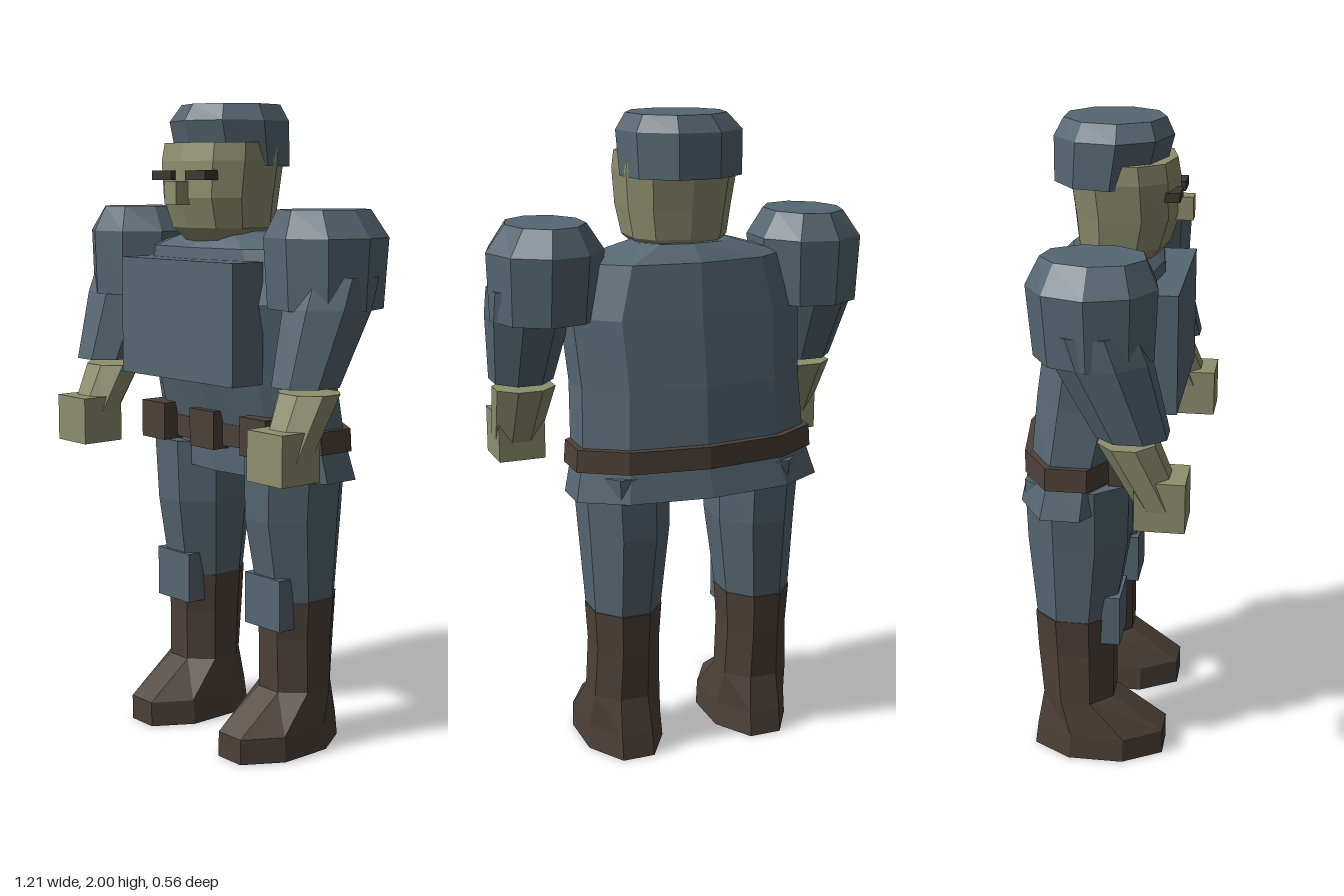
import * as THREE from 'three';

const mat = (name, color) => {
  const m = new THREE.MeshStandardMaterial({ color });
  m.name = name;
  m.flatShading = true;
  return m;
};

// Closed loft through horizontal rings [y, xMin, xMax, zMin, zMax]; p < 1 makes the rings boxier
function loft(rings, sides, phase = 0, p = 1) {
  const pow = (v) => Math.sign(v) * Math.abs(v) ** p;
  const unit = [];
  for (let j = 0; j < sides; j++) {
    const a = phase + (j / sides) * Math.PI * 2;
    unit.push([pow(Math.cos(a)), pow(Math.sin(a))]);
  }
  const fit = (k) => {
    const v = unit.map((u) => u[k]);
    const lo = Math.min(...v), hi = Math.max(...v);
    return v.map((t) => (t - lo) / (hi - lo));
  };
  const us = fit(0), ws = fit(1);
  const pos = [], idx = [];
  for (const [y, x0, x1, z0, z1] of rings)
    for (let j = 0; j < sides; j++) pos.push(x0 + (x1 - x0) * us[j], y, z0 + (z1 - z0) * ws[j]);
  const n = rings.length;
  for (let i = 0; i < n - 1; i++)
    for (let j = 0; j < sides; j++) {
      const k = (j + 1) % sides, a = i * sides, b = a + sides;
      idx.push(a + j, b + j, b + k, a + j, b + k, a + k);
    }
  const top = (n - 1) * sides;
  for (let j = 1; j < sides - 1; j++) {
    idx.push(0, j, j + 1);
    idx.push(top, top + j + 1, top + j);
  }
  const g = new THREE.BufferGeometry();
  g.setAttribute('position', new THREE.Float32BufferAttribute(pos, 3));
  g.setIndex(idx);
  const flat = g.toNonIndexed();
  flat.computeVertexNormals();
  return flat;
}

// Box given by its bounds
function box(x0, x1, y0, y1, z0, z1) {
  return new THREE.BoxGeometry(x1 - x0, y1 - y0, z1 - z0)
    .translate((x0 + x1) / 2, (y0 + y1) / 2, (z0 + z1) / 2);
}

export function createModel() {
  const group = new THREE.Group();
  const cloth = mat('slate blue cloth', 0x566772);
  const skin = mat('olive skin', 0x8e8f6e);
  const leather = mat('brown leather', 0x4d4139);
  const dark = mat('dark eye', 0x3e3731);
  const add = (name, geo, material) => {
    const m = new THREE.Mesh(geo, material);
    m.name = name;
    group.add(m);
  };

  // Torso, skirt and chest plate
  add('torso', loft([
    [0.95, -0.37, 0.37, -0.255, 0.06],
    [1.2, -0.36, 0.355, -0.235, 0.13],
    [1.41, -0.37, 0.37, -0.205, 0.165],
    [1.57, -0.32, 0.31, -0.18, 0.15],
    [1.62, -0.15, 0.15, -0.13, 0.09],
  ], 10, Math.PI / 10, 0.85), cloth);
  add('skirt', loft([
    [0.865, -0.405, 0.395, -0.285, 0.06],
    [0.98, -0.37, 0.37, -0.255, 0.06],
  ], 10, Math.PI / 10, 0.9), cloth);
  add('chestPlate', box(-0.265, 0.27, 1.17, 1.535, 0.1, 0.22), cloth);

  // Belt and pouches
  add('belt', loft([
    [0.955, -0.39, 0.39, -0.275, 0.085],
    [1.025, -0.385, 0.385, -0.275, 0.085],
  ], 10, Math.PI / 10, 0.9), leather);
  for (const x of [-0.245, 0, 0.24]) add('pouch', box(x - 0.058, x + 0.058, 0.945, 1.065, 0.02, 0.115), leather);

  // Head, face and cap
  add('head', loft([
    [1.58, -0.1, 0.1, -0.1, 0.12],
    [1.63, -0.15, 0.155, -0.115, 0.165],
    [1.72, -0.165, 0.17, -0.125, 0.195],
    [1.83, -0.18, 0.18, -0.14, 0.195],
    [1.885, -0.175, 0.175, -0.14, 0.185],
  ], 10, Math.PI / 10, 0.8), skin);
  add('nose', box(-0.027, 0.03, 1.7, 1.77, 0.15, 0.235), skin);
  for (const x of [-0.078, 0.083]) add('eye', box(x - 0.047, x + 0.047, 1.774, 1.802, 0.13, 0.205), dark);
  add('cap', loft([
    [1.815, -0.19, 0.185, -0.175, 0.14],
    [1.95, -0.195, 0.19, -0.175, 0.175],
    [2.0, -0.145, 0.16, -0.15, 0.15],
  ], 9, Math.PI / 2), cloth);

  // Limbs, described on the +x side and mirrored
  for (const s of [1, -1]) {
    const side = s > 0 ? 'left' : 'right';
    const span = (a, b) => (s > 0 ? [a, b] : [-b, -a]);
    const limb = (rings, sides, phase, p) => loft(
      rings.map(([y, a, b, z0, z1]) => [y, ...span(a, b), z0, z1]), sides, phase, p);
    const block = (a, b, ...rest) => box(...span(a, b), ...rest);

    // Arm
    add(side + 'ShoulderPad', limb([
      [1.405, 0.275, 0.6, -0.17, 0.175],
      [1.61, 0.26, 0.607, -0.19, 0.185],
      [1.69, 0.31, 0.545, -0.15, 0.15],
    ], 9, s > 0 ? 0 : Math.PI), cloth);
    add(side + 'Sleeve', limb([
      [1.19, 0.385, 0.57, 0.015, 0.22],
      [1.41, 0.355, 0.595, -0.105, 0.165],
      [1.5, 0.345, 0.595, -0.13, 0.13],
    ], 8, Math.PI / 8), cloth);
    add(side + 'Forearm', limb([
      [0.98, 0.405, 0.55, 0.13, 0.265],
      [1.17, 0.38, 0.567, 0.02, 0.185],
    ], 8, Math.PI / 8), skin);
    add(side + 'Hand', block(0.4, 0.55, 0.92, 1.07, 0.13, 0.277), skin);

    // Leg
    add(side + 'Thigh', limb([
      [0.47, 0.115, 0.33, -0.21, 0.03],
      [0.74, 0.085, 0.345, -0.235, 0.075],
      [0.94, 0.085, 0.36, -0.24, 0.08],
    ], 8, Math.PI / 8), cloth);
    add(side + 'KneePad', block(0.14, 0.3, 0.4, 0.563, -0.02, 0.055), cloth);
    add(side + 'Boot', limb([
      [0, 0.095, 0.347, -0.225, 0.19],
      [0.08, 0.1, 0.345, -0.215, 0.19],
      [0.195, 0.115, 0.333, -0.195, 0.03],
      [0.36, 0.12, 0.325, -0.21, 0.032],
      [0.485, 0.112, 0.333, -0.216, 0.035],
    ], 8, Math.PI / 8), leather);
  }
  return group;
}
